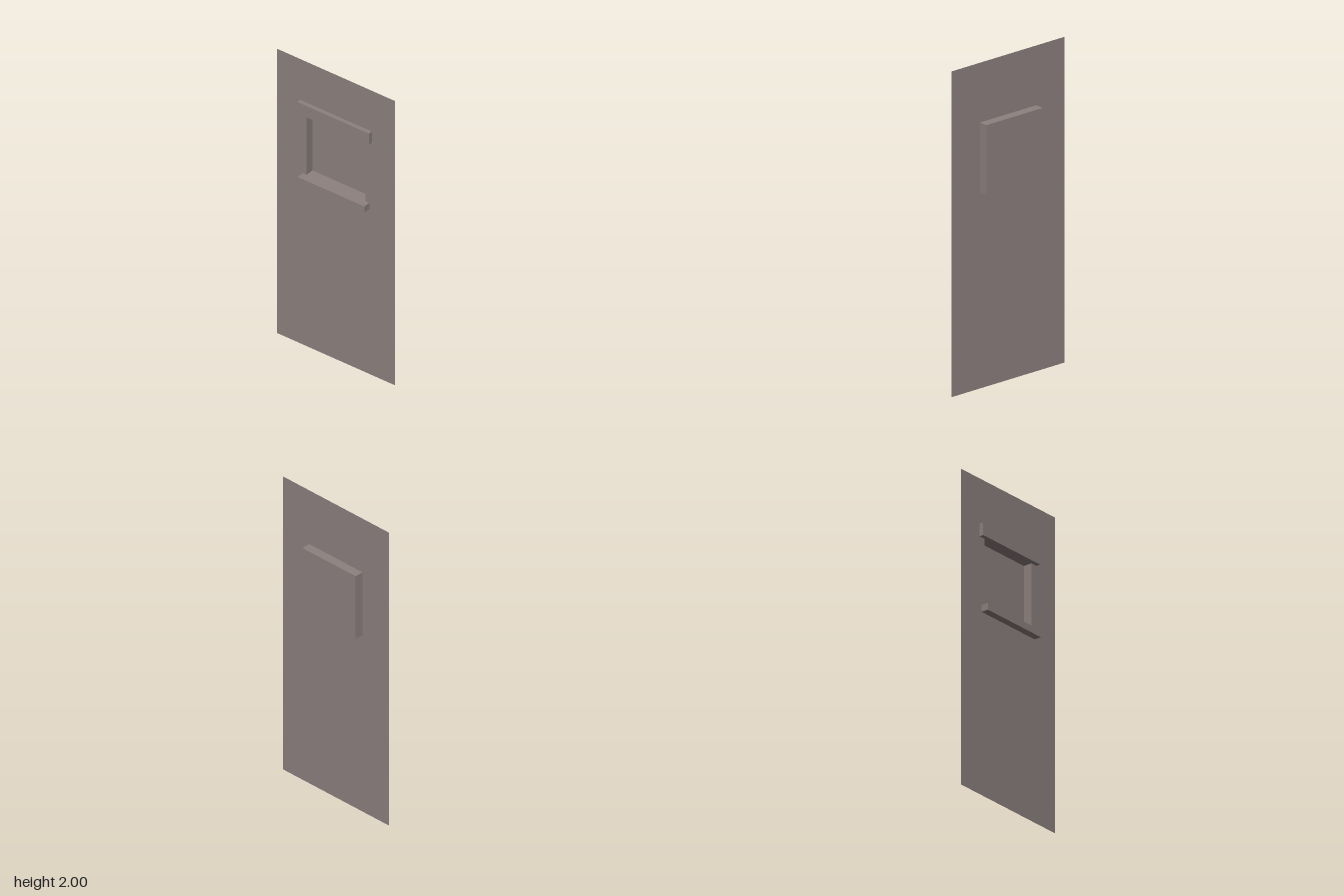
import * as THREE from 'three';

const WALL_Z = 0.005;              // plane of the wall sheet
const HALF = 0.214;                // half width of the window opening
const BOTTOM = 1.204, TOP = 1.633; // opening heights
const BACK_Z = -0.052;             // back of the recess

export function createModel() {
  const model = new THREE.Group();
  model.name = 'wallPanelWithWindowNiche';

  const plaster = new THREE.MeshStandardMaterial({ color: 0x8d817f, side: THREE.DoubleSide });
  plaster.name = 'warm grey plaster';

  const add = (name, geometry, x, y, z) => {
    const mesh = new THREE.Mesh(geometry, plaster);
    mesh.name = name;
    mesh.position.set(x, y, z);
    model.add(mesh);
  };

  // Thin wall sheet with a square opening
  const sheet = new THREE.Shape([
    new THREE.Vector2(-0.427, 0), new THREE.Vector2(0.427, 0),
    new THREE.Vector2(0.427, 2), new THREE.Vector2(-0.427, 2),
  ]);
  sheet.holes.push(new THREE.Path([
    new THREE.Vector2(-HALF, BOTTOM), new THREE.Vector2(-HALF, TOP),
    new THREE.Vector2(HALF, TOP), new THREE.Vector2(HALF, BOTTOM),
  ]));
  add('wall', new THREE.ShapeGeometry(sheet), 0, 0, WALL_Z);

  // Recess behind the opening: a box without its front face
  const recess = new THREE.BoxGeometry(HALF * 2, TOP - BOTTOM, WALL_Z - BACK_Z);
  const faces = Array.from(recess.index.array);
  faces.splice(24, 6);
  recess.setIndex(faces);
  recess.clearGroups();
  add('windowRecess', recess, 0, (TOP + BOTTOM) / 2, (WALL_Z + BACK_Z) / 2);

  // Bars standing proud of the wall above and below the opening
  const addBar = (name, width, y0, y1, frontZ) => add(
    name,
    new THREE.BoxGeometry(width, y1 - y0, frontZ - WALL_Z),
    0, (y0 + y1) / 2, (frontZ + WALL_Z) / 2,
  );
  addBar('lintel', 0.518, TOP, 1.713, 0.032);
  addBar('sill', 0.484, 1.161, BOTTOM, 0.052);

  return model;
}
